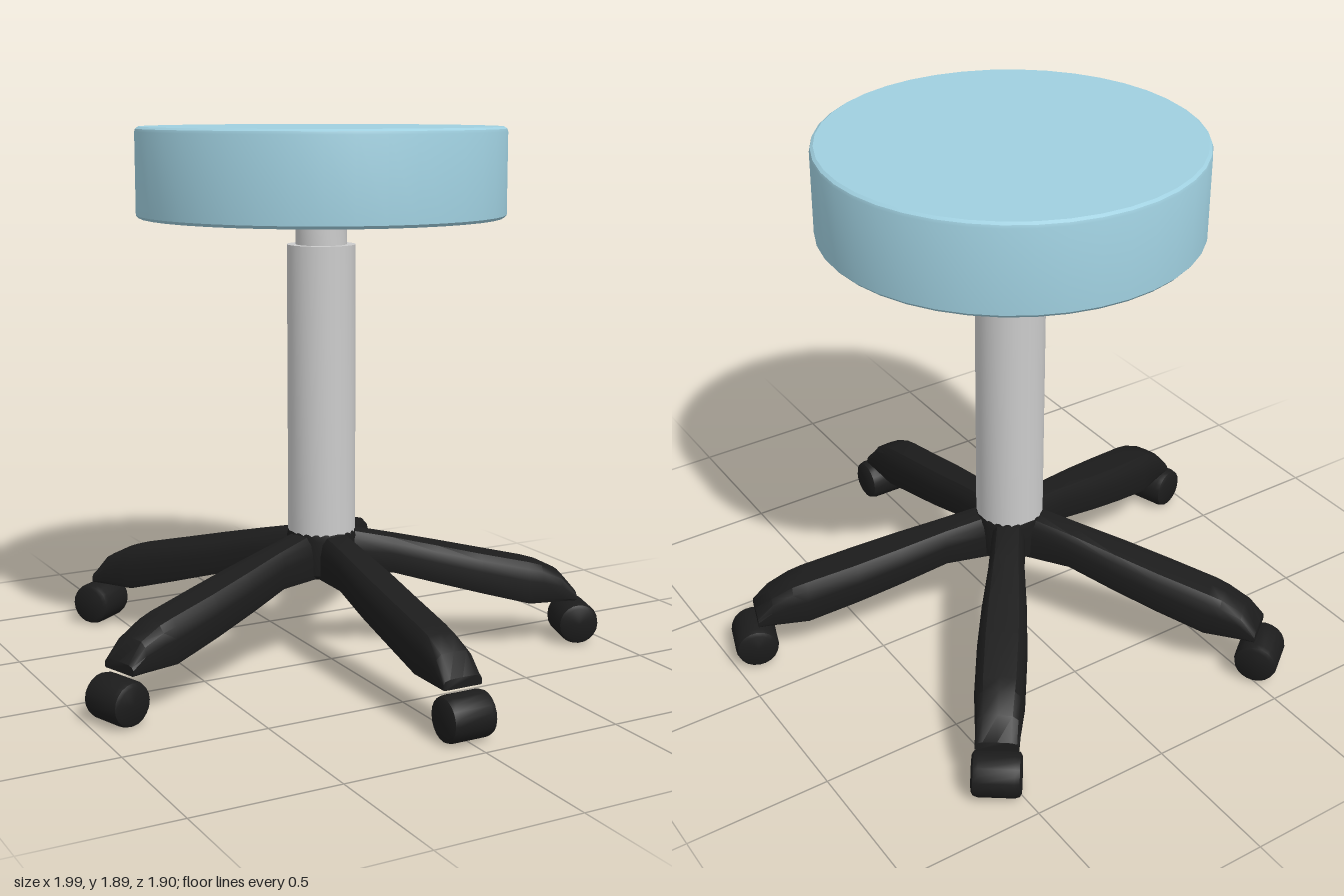
import * as THREE from 'three';
import { toCreasedNormals } from 'three/addons/utils/BufferGeometryUtils.js';

const black = new THREE.MeshStandardMaterial({ color: 0x1c1c1c });
const grey = new THREE.MeshStandardMaterial({ color: 0xcccccc });
const blue = new THREE.MeshStandardMaterial({ color: 0x9fcfdf });

function part(name, geometry, material, parent) {
  const mesh = new THREE.Mesh(geometry, material);
  mesh.name = name;
  parent.add(mesh);
  return mesh;
}

// Turned solid with crisp edges, from [radius, y] points listed bottom to top
function turned(points, sides) {
  const lathe = new THREE.LatheGeometry(points.map(([r, y]) => new THREE.Vector2(r, y)), sides);
  return toCreasedNormals(lathe, 0.6);
}

// Arm stations: distance from hub, top, bottom, half width
const STATIONS = [
  [0, 0.472, 0.31, 0.06], [0.1, 0.472, 0.31, 0.06], [0.25, 0.44, 0.31, 0.064],
  [0.42, 0.402, 0.263, 0.078], [0.58, 0.365, 0.219, 0.085], [0.76, 0.325, 0.17, 0.084],
  [0.81, 0.31, 0.17, 0.08], [0.885, 0.272, 0.17, 0.074], [0.94, 0.205, 0.17, 0.072],
];
// Cross-section with a rounded top, counter-clockwise: x in half widths, y in heights
const SECTION = [
  [-0.95, 0], [0.95, 0], [1, 0.1], [1, 0.55], [0.9, 0.82], [0.65, 0.97],
  [0, 1], [-0.65, 0.97], [-0.9, 0.82], [-1, 0.55], [-1, 0.1],
];

function armGeometry(maxHalfWidth) {
  const positions = [], index = [], n = SECTION.length;
  for (const [r, top, bottom, half] of STATIONS) {
    const w = Math.min(half, maxHalfWidth);
    for (const [u, v] of SECTION) positions.push(u * w, bottom + v * (top - bottom), r);
  }
  for (let i = 0; i < STATIONS.length - 1; i++) {
    for (let j = 0; j < n; j++) {
      const a = i * n + j, b = i * n + (j + 1) % n;
      index.push(a, b, b + n, a, b + n, a + n);
    }
  }
  // Close the outer tip
  const tip = (STATIONS.length - 1) * n;
  for (let j = 1; j < n - 1; j++) index.push(tip, tip + j, tip + j + 1);
  const geometry = new THREE.BufferGeometry();
  geometry.setAttribute('position', new THREE.Float32BufferAttribute(positions, 3));
  geometry.setIndex(index);
  return toCreasedNormals(geometry, 0.7);
}

export function createModel() {
  const stool = new THREE.Group();
  stool.name = 'stool';
  stool.position.z = -0.075;

  // Padded round seat with a softened rim
  part('seat', turned([
    [0, 1.587], [0.632, 1.587], [0.641, 1.597], [0.641, 1.878],
    [0.638, 1.888], [0.628, 1.895], [0, 1.895],
  ], 40), blue, stool);

  // Gas lift
  part('seatCollar', turned([[0, 1.553], [0.113, 1.553], [0.113, 1.59], [0, 1.59]], 24), black, stool);
  part('piston', turned([[0, 1.48], [0.09, 1.48], [0.09, 1.56], [0, 1.56]], 24), grey, stool);
  part('column', turned([[0, 0.46], [0.12, 0.46], [0.12, 1.49], [0, 1.49]], 24), grey, stool);

  // Five-armed base on casters
  part('hub', turned([[0, 0.308], [0.1, 0.308], [0.12, 0.325], [0.125, 0.45], [0.12, 0.474], [0, 0.474]], 20), black, stool);
  const wheel = turned([
    [0, -0.083], [0.06, -0.083], [0.072, -0.076], [0.077, -0.06],
    [0.077, 0.06], [0.072, 0.076], [0.06, 0.083], [0, 0.083],
  ], 20);
  wheel.rotateZ(Math.PI / 2);
  for (let i = 0; i < 5; i++) {
    const leg = new THREE.Group();
    leg.name = 'leg' + (i + 1);
    leg.rotation.y = i * Math.PI * 2 / 5;
    part('arm', armGeometry(i === 0 ? 0.072 : 0.085), black, leg);
    part('caster', wheel, black, leg).position.set(0, 0.08, 0.95);
    stool.add(leg);
  }

  const model = new THREE.Group();
  model.name = 'model';
  model.add(stool);
  return model;
}
